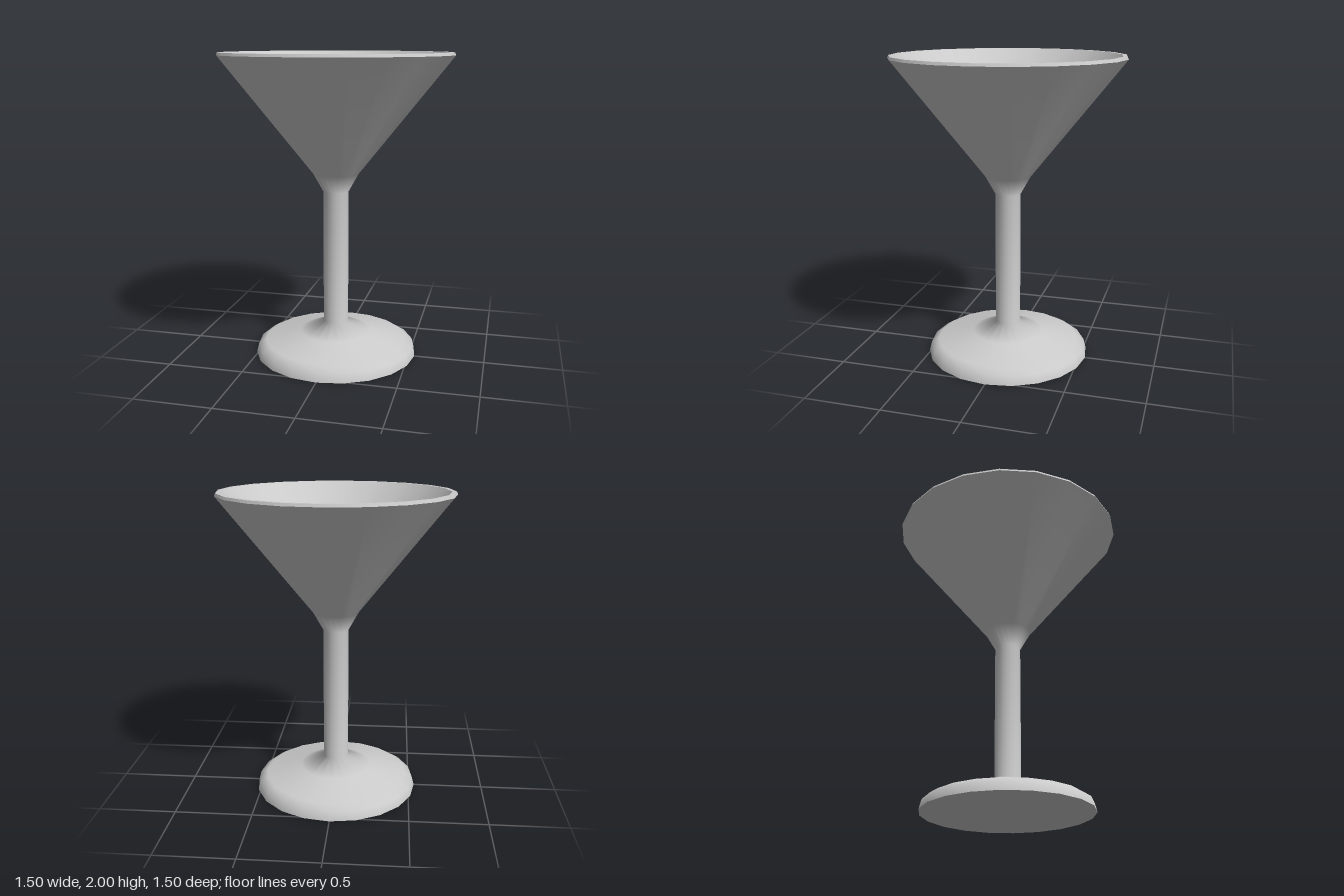
import * as THREE from 'three';

const SIDES = 20;

export function createModel() {
  const group = new THREE.Group();
  const material = new THREE.MeshStandardMaterial({ color: 0xcccccc });

  // Each turned section is smooth; separate sections meet at sharp edges.
  const turn = (name, profile) => {
    const points = profile.map(([r, y]) => new THREE.Vector2(r, y));
    const mesh = new THREE.Mesh(new THREE.LatheGeometry(points, SIDES), material);
    mesh.name = name;
    group.add(mesh);
  };

  // Flat underside of the foot
  turn('footUnderside', [[0, 0], [0.54, 0]]);

  // Foot, stem and outside of the bowl in one smooth sweep
  turn('footStemAndBowl', [
    [0.54, 0], [0.525, 0.058], [0.475, 0.09], [0.24, 0.145], [0.083, 0.215],
    [0.083, 1.105], [0.15, 1.225], [0.752, 1.983],
  ]);

  // Narrow bevel and flat lip
  turn('rimBevel', [[0.752, 1.983], [0.745, 2]]);
  turn('rimLip', [[0.745, 2], [0.717, 2]]);

  // Inside of the bowl, rounded at the bottom
  turn('bowlInside', [[0.717, 2], [0.12, 1.25], [0.06, 1.205], [0, 1.195]]);

  return group;
}
